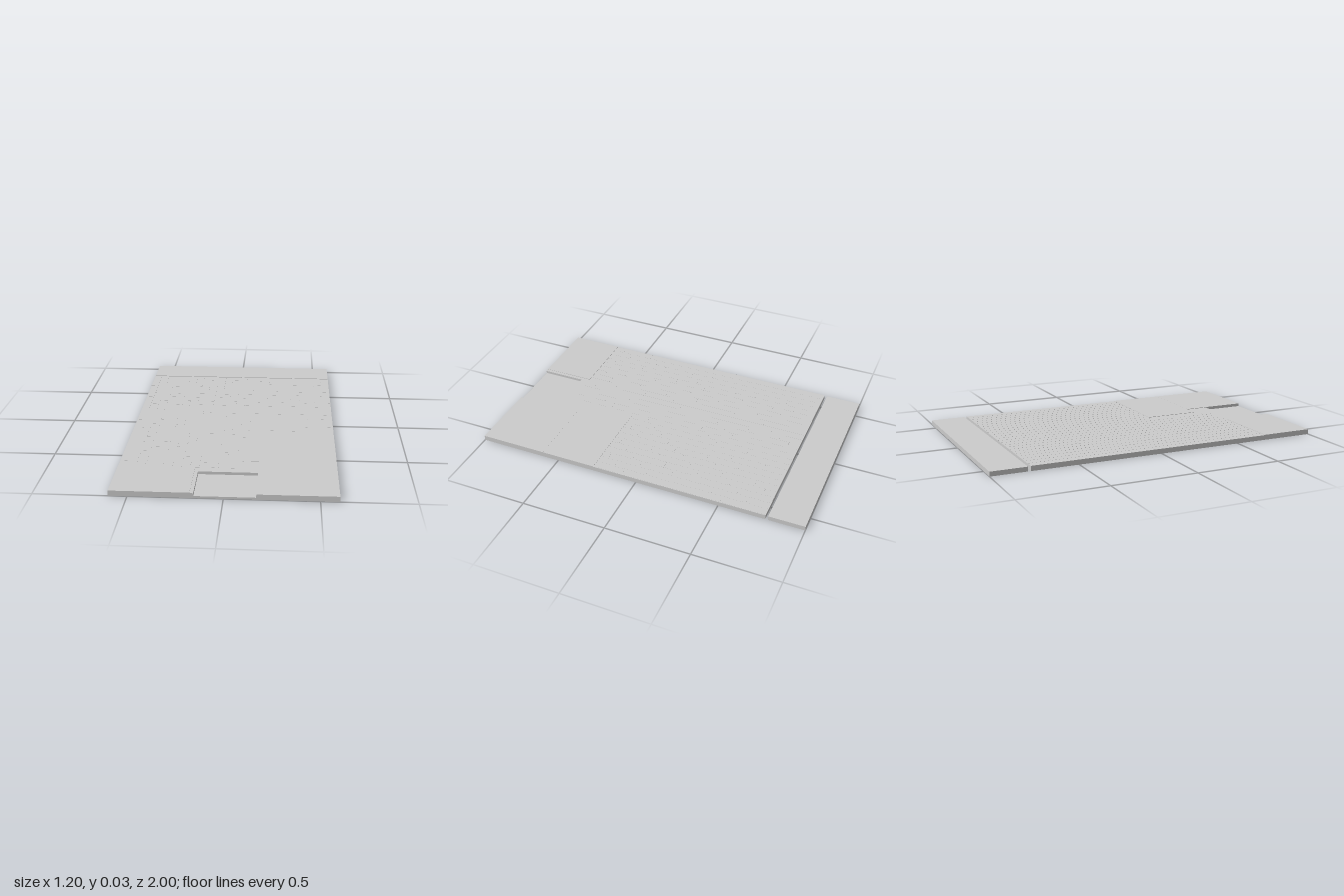
import * as THREE from 'three';
import { mergeGeometries } from 'three/addons/utils/BufferGeometryUtils.js';

const grey = new THREE.MeshStandardMaterial({ color: 0xcccccc, flatShading: true });

// Box geometry given by its limits on each axis
function block(x0, x1, y0, y1, z0, z1) {
  return new THREE.BoxGeometry(x1 - x0, y1 - y0, z1 - z0)
    .translate((x0 + x1) / 2, (y0 + y1) / 2, (z0 + z1) / 2);
}

export function createModel() {
  const model = new THREE.Group();
  const add = (name, geometry) => {
    const mesh = new THREE.Mesh(geometry, grey);
    mesh.name = name;
    model.add(mesh);
  };

  const W = 0.6, back = -0.775, front = 1;
  const notch = { x0: -0.155, x1: 0.17, z: 0.74, floor: 0.012 };
  const deckTop = 0.028;

  // Lower slab, whose top is the floor of the front recess
  add('lowerSlab', block(-W, W, 0, notch.floor, back, front));

  // Upper slab with the recess cut from its front edge (shape y becomes -z)
  const outline = new THREE.Shape([
    [-W, -front], [notch.x0, -front], [notch.x0, -notch.z], [notch.x1, -notch.z],
    [notch.x1, -front], [W, -front], [W, -back], [-W, -back],
  ].map(([x, y]) => new THREE.Vector2(x, y)));
  const upper = new THREE.ExtrudeGeometry(outline, { depth: deckTop - notch.floor, bevelEnabled: false });
  add('upperSlab', upper.rotateX(-Math.PI / 2).translate(0, notch.floor, 0));

  // Slightly raised platforms at the front
  add('rightPlatform', block(-W, -0.175, deckTop, 0.0305, 0.69, front));
  add('leftPlatform', block(notch.x1, W, deckTop, 0.0305, 0.6, front));
  add('middlePlatform', block(0.08, W, deckTop, 0.03, 0.27, 0.6));

  // Staggered thin planks covering the lower deck
  const planks = [];
  const rows = 24, pitch = 2 * W / rows, length = 0.2, gap = 0.003;
  for (let i = 0; i < rows; i++) {
    const x = -W + i * pitch;
    const end = x + pitch > 0.08 ? 0.27 : 0.69;
    for (let z = back - (i % 3) * length / 3; z < end; z += length) {
      const z0 = Math.max(z, back), z1 = Math.min(z + length - gap, end);
      if (z1 - z0 > 0.01) planks.push(block(x, x + pitch - gap, deckTop, deckTop + 0.0005, z0, z1));
    }
  }
  add('deckPlanks', mergeGeometries(planks));

  // Separate strip behind the narrow gap
  add('backStrip', block(-W, W, 0, 0.0265, -1, -0.79));

  return model;
}
